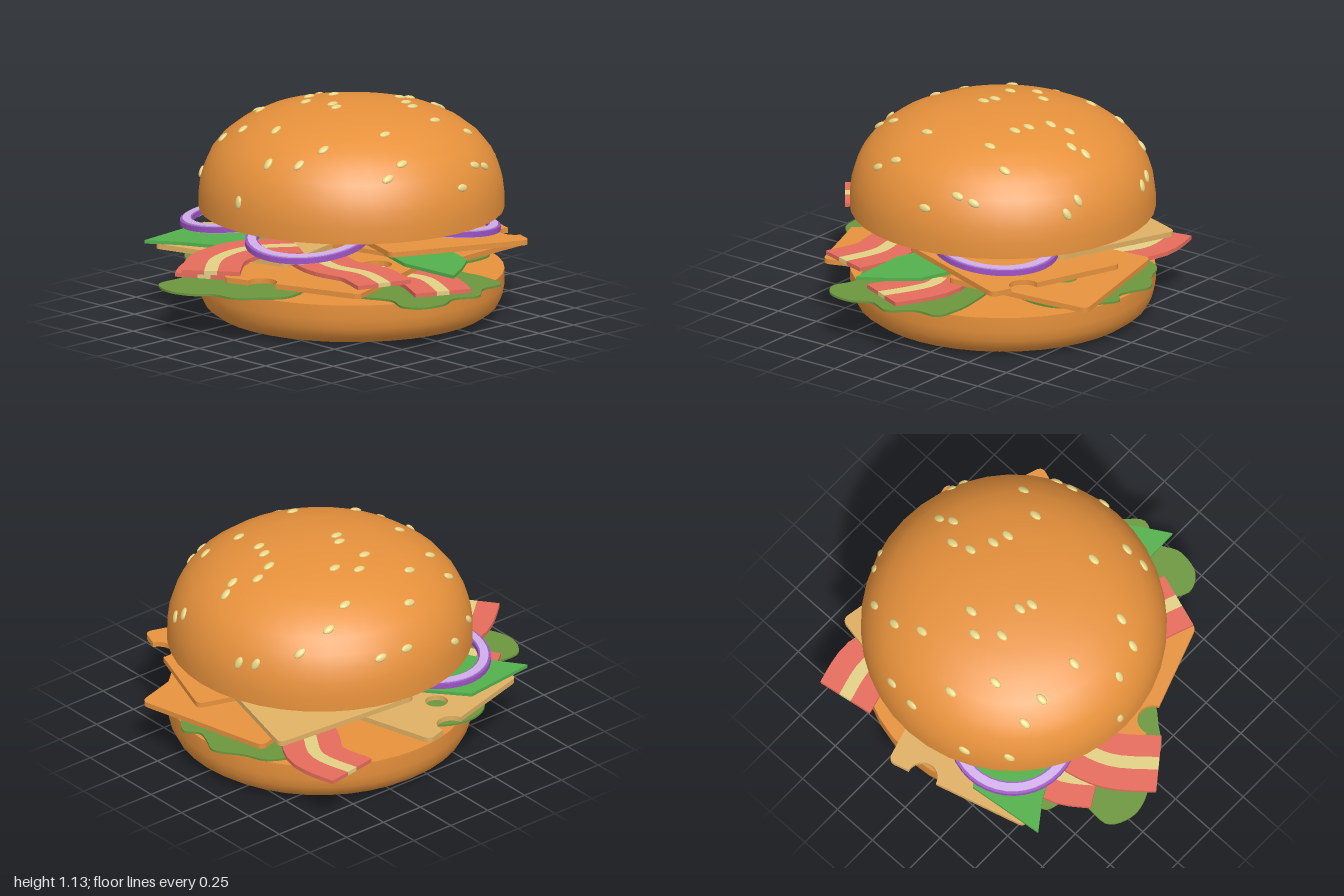
import * as THREE from 'three';
import { toCreasedNormals } from 'three/addons/utils/BufferGeometryUtils.js';

const mat = (name, color) => {
  const m = new THREE.MeshStandardMaterial({ color });
  m.name = name;
  return m;
};

export function createModel() {
  const model = new THREE.Group();
  model.name = 'burger';
  const bun = mat('bun crust', 0xe8923c);
  const seedMat = mat('sesame', 0xe8d688);
  const cheddar = mat('orange cheese', 0xe6923e);
  const swiss = mat('pale cheese', 0xdfb064);
  const meat = mat('bacon red', 0xe66c5c);
  const fat = mat('bacon fat', 0xe2d084);
  const lettuceMat = mat('lettuce green', 0x6c973e);
  const leafMat = mat('leaf green', 0x53b04c);
  const skin = mat('onion skin', 0x9c54c4);
  const flesh = mat('onion flesh', 0xd0aeea);
  const CX = -0.03, CZ = -0.13;

  const add = (name, geo, material, parent = model) => {
    const mesh = new THREE.Mesh(geo, material);
    mesh.name = name;
    parent.add(mesh);
    return mesh;
  };

  // Lean a geometry: raise each vertex in proportion to x and z
  const lean = (geo, sx, sz) => {
    const p = geo.attributes.position;
    for (let i = 0; i < p.count; i++) p.setY(i, p.getY(i) + sx * p.getX(i) + sz * p.getZ(i));
    geo.computeVertexNormals();
    return geo;
  };

  // Flat plate: shape coordinates are (x, z), centred on height 0
  const plate = (shape, thick) => {
    const geo = new THREE.ExtrudeGeometry(shape, { depth: thick, bevelEnabled: false, curveSegments: 10 });
    return geo.rotateX(Math.PI / 2).translate(0, thick / 2, 0);
  };
  const v2 = ([x, y]) => new THREE.Vector2(x, y);

  // Buns
  const dome = [[0.8, 0.56], [0.8, 0.64], [0.79, 0.72], [0.768, 0.79], [0.735, 0.86], [0.68, 0.93],
    [0.59, 1.0], [0.48, 1.053], [0.33, 1.092], [0.16, 1.115], [0, 1.122]];
  const base = [[0, 0], [0.66, 0], [0.72, 0.012], [0.765, 0.045], [0.79, 0.095], [0.8, 0.15], [0.8, 0.23], [0, 0.23]];
  const turned = (pts) => toCreasedNormals(new THREE.LatheGeometry(pts.map(v2), 40), 0.85);
  add('topBun', turned([[0, 0.56], ...dome]), bun).position.set(CX, 0, CZ);
  add('bottomBun', turned(base), bun).position.set(CX, 0, CZ);

  // Sesame seeds laid on the dome, by plan position
  const seeds = [[-0.52, -0.67], [-0.55, -0.5], [-0.5, -0.35], [-0.35, -0.83], [-0.26, -0.87], [0.03, -0.72],
    [0.06, -0.65], [-0.04, -0.56], [-0.01, -0.46], [0.1, -0.4], [0.18, -0.37], [0.37, -0.35], [0.45, -0.51],
    [0.24, -0.83], [0.32, -0.82], [0.64, -0.45], [0.66, -0.36], [0.735, -0.2], [-0.76, -0.32], [-0.78, -0.16],
    [-0.63, -0.02], [-0.45, 0.13], [-0.26, -0.22], [-0.34, -0.12], [-0.25, -0.01], [-0.08, -0.04], [-0.02, -0.01],
    [0.4, 0.04], [0.59, 0.1], [0.6, 0.21], [-0.75, 0.19], [-0.62, 0.39], [-0.48, 0.37], [-0.34, 0.36], [-0.09, 0.36],
    [0.27, 0.36], [0.22, 0.49], [0.05, 0.55], [-0.06, 0.66]];
  const seedGeo = new THREE.SphereGeometry(1, 10, 8).scale(0.021, 0.013, 0.036);
  const seedGroup = new THREE.Group();
  seedGroup.name = 'sesameSeeds';
  model.add(seedGroup);
  for (const [x, z] of seeds) {
    const r = Math.min(Math.hypot(x - CX, z - CZ), 0.795);
    const i = dome.findIndex((p) => p[0] <= r);
    const [r0, y0] = dome[i - 1], [r1, y1] = dome[i];
    const y = y0 + (y1 - y0) * (r0 - r) / (r0 - r1);
    const a = Math.atan2(z - CZ, x - CX);
    const n = new THREE.Vector3(Math.cos(a) * (y1 - y0), r0 - r1, Math.sin(a) * (y1 - y0)).normalize();
    const seed = add('seed', seedGeo, seedMat, seedGroup);
    seed.position.set(x, y, z);
    seed.quaternion.setFromUnitVectors(new THREE.Vector3(0, 1, 0), n);
  }

  // Frilly lettuce leaves: height, then a smooth closed outline
  const lettuce = (y, outline) => {
    const curve = new THREE.CatmullRomCurve3(outline.map(([x, z]) => new THREE.Vector3(x, z, 0)), true);
    add('lettuce', plate(new THREE.Shape(curve.getPoints(70).slice(0, -1).map((p) => v2([p.x, p.y]))), 0.012), lettuceMat).position.y = y;
  };
  lettuce(0.258, [[0.3, -0.3], [0.6, -0.4], [0.74, -0.4], [0.85, -0.37], [0.86, -0.23], [0.95, -0.11], [0.9, 0.02],
    [0.95, 0.14], [0.92, 0.28], [0.83, 0.33], [0.7, 0.28], [0.5, 0.35], [0.3, 0.2]]);
  lettuce(0.25, [[-0.5, 0.3], [-0.58, 0.6], [-0.47, 0.65], [-0.42, 0.72], [-0.41, 0.9], [-0.28, 0.965], [-0.14, 0.93],
    [-0.06, 0.85], [0.08, 0.82], [0.17, 0.72], [0.25, 0.6], [0.15, 0.35], [-0.15, 0.25]]);
  lettuce(0.246, [[-0.5, -0.6], [-0.45, -0.82], [-0.32, -0.89], [-0.18, -0.98], [-0.08, -0.94], [0, -0.92], [0.07, -0.97],
    [0.18, -0.9], [0.35, -0.75], [0.3, -0.45], [-0.1, -0.35]]);
  lettuce(0.254, [[-0.75, 0.1], [-0.8, 0.25], [-0.74, 0.4], [-0.5, 0.5], [-0.3, 0.35], [-0.35, 0.1], [-0.6, 0]]);

  // Wavy bacon strips: lean, fat and lean bands offset from a centre line
  const bacon = (line, y) => {
    const strip = new THREE.Group();
    strip.name = 'bacon';
    strip.position.y = y;
    model.add(strip);
    const curve = new THREE.SplineCurve(line.map(v2));
    const side = (off) => Array.from({ length: 17 }, (_, i) => {
      const p = curve.getPoint(i / 16), t = curve.getTangent(i / 16);
      return new THREE.Vector2(p.x - t.y * off, p.y + t.x * off);
    });
    for (const [a, b, m, name] of [[-0.155, -0.035, meat, 'leanBand'], [-0.035, 0.035, fat, 'fatBand'], [0.035, 0.155, meat, 'leanBand']])
      add(name, plate(new THREE.Shape([...side(a), ...side(b).reverse()]), 0.022), m, strip);
  };
  bacon([[-0.1, 0.2], [-0.23, 0.42], [-0.19, 0.68], [-0.02, 0.9]], 0.386);
  bacon([[-0.15, 0.1], [-0.28, 0.3], [-0.4, 0.5], [-0.28, 0.7]], 0.282);
  bacon([[-0.84, -0.58], [-0.6, -0.62], [-0.35, -0.5], [-0.05, -0.55]], 0.265);
  bacon([[0.05, -0.2], [0.3, -0.05], [0.55, -0.1], [0.82, 0.02]], 0.276);
  bacon([[0.05, 0.22], [0.28, 0.3], [0.5, 0.28], [0.72, 0.35]], 0.362);

  // Cheese slices with rounded corners, round holes and an optional bite in the left edge
  const slice = (name, m, [x, y, z], turn, sx, sz, holes, bite) => {
    const h = 0.4, c = 0.04, s = new THREE.Shape();
    s.moveTo(-h + c, -h);
    s.lineTo(h - c, -h).quadraticCurveTo(h, -h, h, -h + c);
    s.lineTo(h, h - c).quadraticCurveTo(h, h, h - c, h);
    s.lineTo(-h + c, h).quadraticCurveTo(-h, h, -h, h - c);
    if (bite !== undefined) s.absarc(-h, bite, 0.08, Math.PI / 2, -Math.PI / 2, true);
    s.lineTo(-h, -h + c).quadraticCurveTo(-h, -h, -h + c, -h);
    for (const [hx, hz, r] of holes) s.holes.push(new THREE.Path().absarc(hx, hz, r, 0, Math.PI * 2, true));
    const geo = plate(s, 0.028).rotateY(-turn);
    add(name, lean(geo, sx, sz), m).position.set(x, y, z);
  };
  const holes = [[0.2, 0.2, 0.08], [-0.1, 0.24, 0.05], [0.08, -0.12, 0.07], [-0.2, -0.05, 0.06], [0.27, -0.25, 0.05]];
  slice('orangeCheese', cheddar, [0.18, 0.318, 0.26], -1.91, 0, 0, holes.slice(0, 3), -0.17);
  slice('orangeCheese', cheddar, [0.08, 0.318, -0.52], -0.22, 0, 0.06, holes.slice(1, 4));
  slice('paleCheese', swiss, [-0.47, 0.345, 0.12], -0.28, 0, 0, holes, -0.2);
  slice('orangeCheese', cheddar, [0.25, 0.422, -0.42], 1.91, 0, 0.02, holes.slice(0, 3), -0.2);
  slice('paleCheese', swiss, [-0.26, 0.47, -0.38], 0.2, 0.06, 0.1, holes.slice(0, 4));

  // Pointed green leaves
  const leaf = (pts, y) => add('greenLeaf', plate(new THREE.Shape(pts.map(v2)), 0.018), leafMat).position.set(0, y, 0);
  leaf([[0.35, 0], [0.4, -0.33], [0.77, -0.2], [0.87, -0.07], [0.96, 0.08], [0.6, 0.09]], 0.4);
  leaf([[-0.73, 0.7], [-0.58, 0.59], [-0.3, 0.45], [-0.3, 0.2], [-0.55, 0.08], [-0.78, 0.28]], 0.385);

  // Onion rings: purple skin bands with pale flesh standing proud between them
  const onion = ([x, y, z], R, sx, sz) => {
    const ring = new THREE.Group();
    ring.name = 'onionRing';
    ring.position.set(x, y, z);
    model.add(ring);
    const band = (a, b, h) => lean(toCreasedNormals(new THREE.LatheGeometry(
      [[a, -h], [b, -h], [b, h], [a, h], [a, -h]].map(v2), 40), 0.6), sx, sz);
    add('onionSkin', band(R - 0.065, R, 0.014), skin, ring);
    add('onionFlesh', band(R - 0.056, R - 0.013, 0.02), flesh, ring);
  };
  onion([-0.44, 0.507, 0.25], 0.34, 0.1, -0.06);
  onion([0.08, 0.49, 0.29], 0.33, -0.05, -0.15);
  onion([0.36, 0.505, -0.38], 0.33, -0.02, 0.11);

  return model;
}
